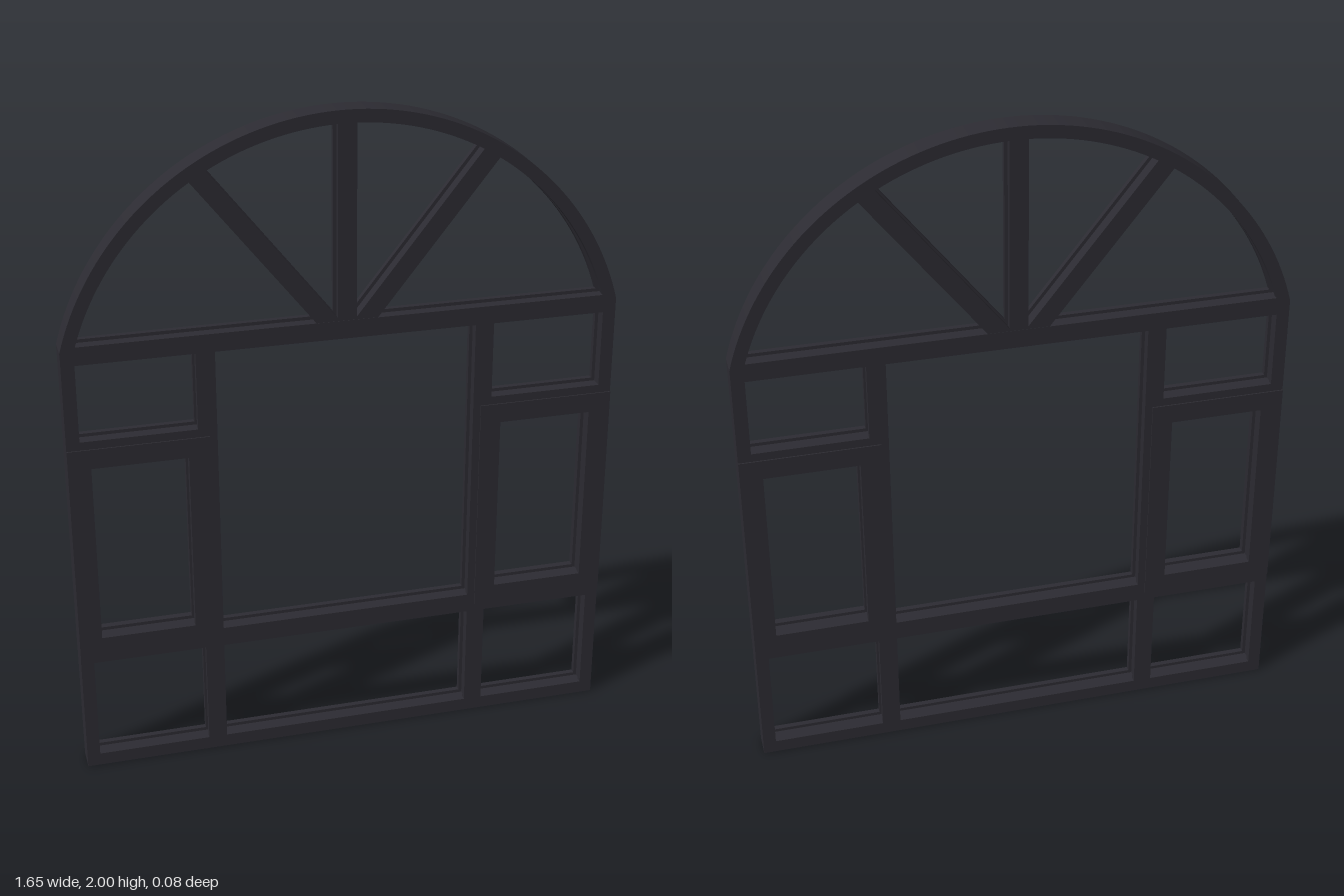
import * as THREE from 'three';

const HALF_W = 0.822, SPRING = 1.37, R = 0.852, CY = 2 - R;
const TRANSOM = 1.355, MULLION = 0.415;
const DEPTH = 0.037, CORE = 0.02, GROOVE = 0.01;

const frameMat = new THREE.MeshStandardMaterial({ color: 0x2c2b32 });
frameMat.name = 'dark frame';

function rect(Type, [x0, x1, y0, y1], grow = 0) {
  const p = new Type();
  p.moveTo(x0 - grow, y0 - grow).lineTo(x1 + grow, y0 - grow);
  p.lineTo(x1 + grow, y1 + grow).lineTo(x0 - grow, y1 + grow).closePath();
  return p;
}

// Slab between two depths
function slab(name, shape, z0, z1) {
  const geo = new THREE.ExtrudeGeometry(shape, { depth: z1 - z0, bevelEnabled: false, curveSegments: 40 });
  geo.translate(0, 0, z0);
  const mesh = new THREE.Mesh(geo, frameMat);
  mesh.name = name;
  return mesh;
}

// Front and back facings with a set-back core, leaving a glazing groove
function grooved(name, makeShape, depth = DEPTH) {
  const g = new THREE.Group();
  g.name = name;
  g.add(slab(name + 'Core', makeShape(GROOVE), -CORE, CORE));
  g.add(slab(name + 'Front', makeShape(0), CORE, depth));
  g.add(slab(name + 'Back', makeShape(0), -depth, -CORE));
  return g;
}

// Rectangular surround with one opening
function pane(name, outer, opening, depth) {
  return grooved(name, (g) => {
    const s = rect(THREE.Shape, outer);
    s.holes.push(rect(THREE.Path, opening, g));
    return s;
  }, depth);
}

// Arched surround of the fan light
function fanShape(g) {
  const s = new THREE.Shape();
  const a = Math.atan2(SPRING - CY, HALF_W);
  s.moveTo(-HALF_W, TRANSOM).lineTo(HALF_W, TRANSOM);
  s.absarc(0, CY, R, a, Math.PI - a, false);
  s.closePath();
  const r = R - 0.038 + g, y = 1.385 - g, b = Math.asin((y - CY) / r);
  const hole = new THREE.Path();
  hole.absarc(0, CY, r, b, Math.PI - b, false);
  hole.closePath();
  s.holes.push(hole);
  return s;
}

// Fan bar: narrow core between two wider facings
function spoke(name, x0, y0, x1, y1) {
  const len = Math.hypot(x1 - x0, y1 - y0), w = 0.0275, d = DEPTH - 0.001;
  const bar = grooved(name, (g) => rect(THREE.Shape, [-w + g, w - g, -len / 2, len / 2]), d);
  bar.position.set((x0 + x1) / 2, (y0 + y1) / 2, 0);
  bar.rotation.z = Math.atan2(y1 - y0, x1 - x0) - Math.PI / 2;
  return bar;
}

export function createModel() {
  const model = new THREE.Group();
  model.name = 'archedWindow';

  // fan light
  model.add(grooved('fanFrame', fanShape));
  model.add(spoke('centreSpoke', 0, 1.36, 0, 1.98));
  model.add(spoke('leftSpoke', 0.04, 1.365, 0.427, 1.853));
  model.add(spoke('rightSpoke', -0.04, 1.365, -0.427, 1.853));

  // centre windows
  model.add(pane('mainWindow', [-MULLION, MULLION, 0.395, TRANSOM], [-0.387, 0.387, 0.425, 1.33]));
  model.add(pane('lowWindow', [-MULLION, MULLION, 0, 0.395], [-0.387, 0.387, 0.04, 0.365]));

  // side windows, with slightly proud sashes in the middle
  for (const [side, m] of [['left', 1], ['right', -1]]) {
    const at = (x0, x1, y0, y1) => (m > 0 ? [x0, x1, y0, y1] : [-x1, -x0, y0, y1]);
    model.add(pane(side + 'UpperWindow', at(MULLION, HALF_W, 1.06, TRANSOM), at(0.443, 0.783, 1.095, 1.33)));
    model.add(pane(side + 'Sash', at(0.41, HALF_W, 0.39, 1.07), at(0.473, 0.755, 0.45, 1.01), 0.041));
    model.add(pane(side + 'LowerWindow', at(MULLION, HALF_W, 0, 0.395), at(0.443, 0.783, 0.04, 0.365)));
  }
  return model;
}
